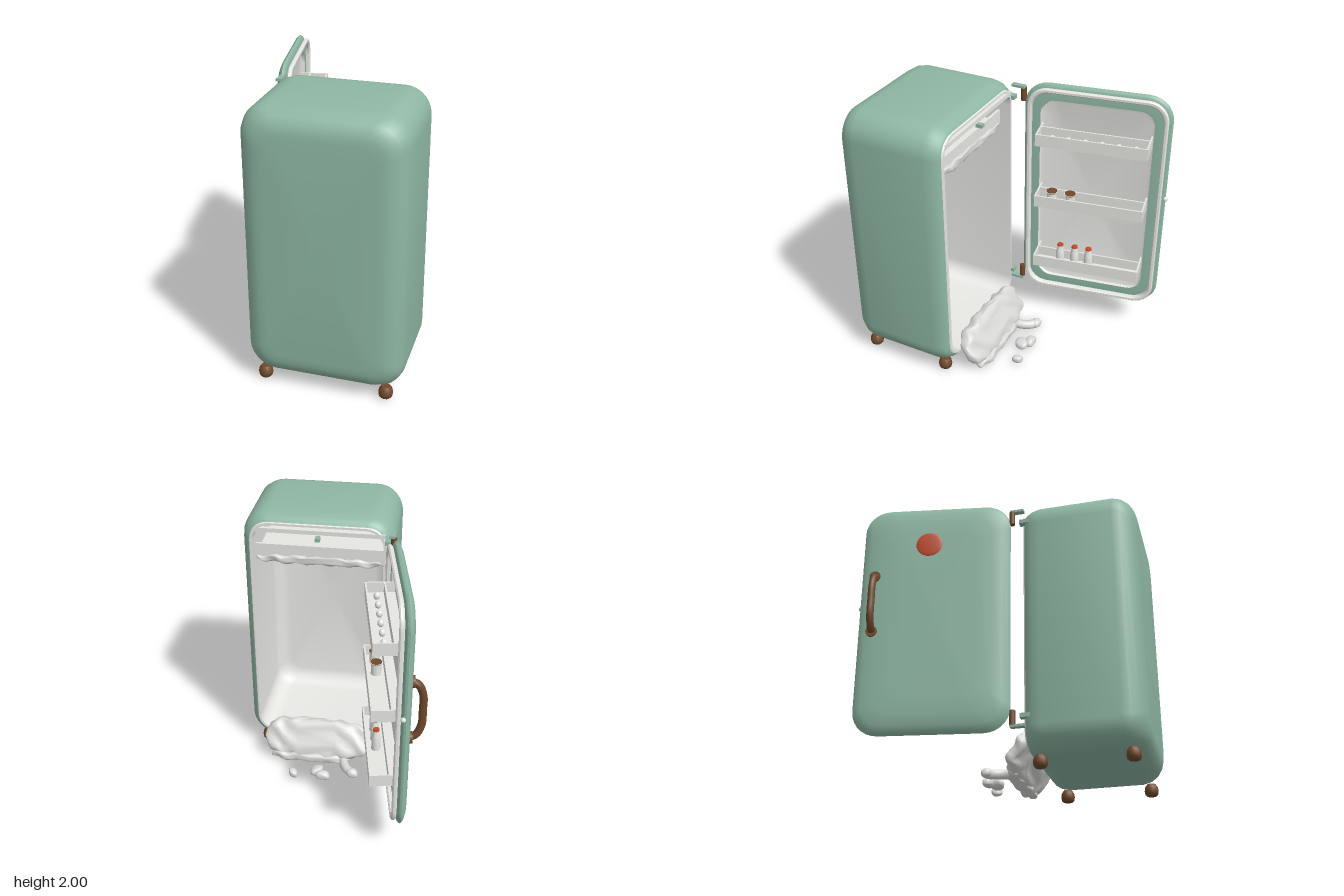
import * as THREE from 'three';
import { toCreasedNormals, mergeVertices } from 'three/addons/utils/BufferGeometryUtils.js';

const mat = (name, color) => Object.assign(new THREE.MeshStandardMaterial({ color }), { name });

// Ring of points around a rounded rectangle, counter-clockwise seen from +z
function roundedRing(cx, cy, w, h, r, z) {
  const pts = [], k = 7;
  [[1, 1], [-1, 1], [-1, -1], [1, -1]].forEach(([sx, sy], q) => {
    for (let i = 0; i <= k; i++) {
      const a = (q + i / k) * Math.PI / 2;
      pts.push([cx + sx * (w / 2 - r) + r * Math.cos(a), cy + sy * (h / 2 - r) + r * Math.sin(a), z]);
    }
  });
  return pts;
}

// Skin over rounded rectangles; each section is [z, inset, corner radius]
function loft(cx, cy, w, h, sections, capStart, capEnd) {
  const pos = [], idx = [];
  const rings = sections.map(([z, d, r]) => roundedRing(cx, cy, w - 2 * d, h - 2 * d, r, z));
  const n = rings[0].length;
  rings.forEach(ring => ring.forEach(p => pos.push(...p)));
  for (let i = 0; i < rings.length - 1; i++) {
    for (let j = 0; j < n; j++) {
      const a = i * n + j, b = i * n + (j + 1) % n;
      idx.push(a, b, b + n, a, b + n, a + n);
    }
  }
  const cap = (ringIndex, flip) => {
    const c = pos.length / 3, o = ringIndex * n;
    pos.push(cx, cy, sections[ringIndex][0]);
    for (let j = 0; j < n; j++) {
      const a = o + j, b = o + (j + 1) % n;
      flip ? idx.push(c, b, a) : idx.push(c, a, b);
    }
  };
  if (capStart) cap(0, true);
  if (capEnd) cap(rings.length - 1, false);
  const g = new THREE.BufferGeometry();
  g.setAttribute('position', new THREE.Float32BufferAttribute(pos, 3));
  g.setIndex(idx);
  return toCreasedNormals(g, 0.65);
}

// Lumpy ice: a squared-off ball displaced by waves
function lump(sx, sy, sz, power, amp, seed) {
  let g = new THREE.SphereGeometry(1, 40, 24);
  g.deleteAttribute('uv');
  g.deleteAttribute('normal');
  g = mergeVertices(g);
  const p = g.attributes.position;
  const sq = v => Math.sign(v) * Math.pow(Math.abs(v), power);
  for (let i = 0; i < p.count; i++) {
    const x = sq(p.getX(i)) * sx, y = sq(p.getY(i)) * sy, z = sq(p.getZ(i)) * sz;
    const wave = f => amp * Math.sin(f * 38 + seed);
    p.setXYZ(i, x + wave(y + z), y + wave(x * 1.1 + z * 0.7 + 1), z + wave(x * 0.9 - y + 2));
  }
  g.computeVertexNormals();
  return g;
}

export function createModel() {
  const green = mat('sage enamel', 0x8fb8a4);
  const white = mat('white liner', 0xe6e6e3);
  const ice = mat('frost', 0xdadad8);
  const brown = mat('brown fittings', 0x70492c);
  const red = mat('orange red badge', 0xc44a2c);

  const root = new THREE.Group();
  const add = (parent, name, geo, m, x = 0, y = 0, z = 0) => {
    const mesh = new THREE.Mesh(geo, m);
    mesh.name = name;
    mesh.position.set(x, y, z);
    parent.add(mesh);
    return mesh;
  };
  const box = (parent, name, m, w, h, d, x, y, z) =>
    add(parent, name, new THREE.BoxGeometry(w, h, d), m, x, y, z);

  // Cabinet, open towards -z
  const cabinet = new THREE.Group();
  cabinet.name = 'cabinet';
  root.add(cabinet);
  add(cabinet, 'cabinetShell', loft(0.155, 1.04, 1.09, 1.92, [
    [0.165, 0.06, 0.14], [0.18, 0.035, 0.16], [0.22, 0.012, 0.18], [0.28, 0, 0.19], [0.81, 0, 0.19],
    [0.87, 0.014, 0.18], [0.92, 0.045, 0.17], [0.95, 0.085, 0.15], [0.965, 0.13, 0.12], [0.97, 0.18, 0.1],
  ], false, true), green);
  add(cabinet, 'cabinetLiner', loft(0.155, 1.04, 1.09, 1.92, [
    [0.89, 0.2, 0.1], [0.875, 0.14, 0.12], [0.83, 0.1, 0.13], [0.76, 0.085, 0.13],
    [0.18, 0.08, 0.13], [0.158, 0.078, 0.13], [0.158, 0.062, 0.14], [0.17, 0.055, 0.14],
  ], true, false), white);
  box(cabinet, 'topStrip', white, 0.92, 0.03, 0.03, 0.14, 1.885, 0.17);
  box(cabinet, 'topCatch', green, 0.035, 0.025, 0.05, 0.15, 1.84, 0.155);
  box(cabinet, 'freezerFloor', white, 0.92, 0.025, 0.6, 0.155, 1.64, 0.55);
  box(cabinet, 'freezerFront', white, 0.92, 0.1, 0.02, 0.155, 1.69, 0.25);

  // Feet
  const footProfile = [[0, 0], [0.035, 0], [0.046, 0.012], [0.05, 0.035], [0.046, 0.062], [0.03, 0.085], [0, 0.085]]
    .map(([x, y]) => new THREE.Vector2(x, y));
  for (const x of [-0.275, 0.58]) for (const z of [0.25, 0.86]) {
    add(cabinet, 'foot', toCreasedNormals(new THREE.LatheGeometry(footProfile, 14), 0.7), brown, x, 0.005, z);
  }

  // Hinges
  for (const [y, s] of [[1.865, 1], [0.325, -1]]) {
    add(cabinet, 'hingePin', new THREE.CylinderGeometry(0.021, 0.021, 0.1, 14), brown, -0.386, y, 0.09);
    box(cabinet, 'hingeBracket', green, 0.04, 0.018, 0.1, -0.376, y + s * 0.058, 0.125);
    box(cabinet, 'hingeArm', green, 0.05, 0.03, 0.07, -0.345, y - s * 0.02, 0.17);
  }

  // Frost in the freezer and the ice spilling out at the bottom
  const frost = new THREE.Group();
  frost.name = 'frost';
  root.add(frost);
  add(frost, 'freezerFrost', lump(0.45, 0.03, 0.03, 0.6, 0.008, 1), ice, 0.155, 1.63, 0.25);
  add(frost, 'backFrost', lump(0.4, 0.035, 0.035, 0.6, 0.008, 3), ice, 0.155, 1.61, 0.81);
  const wallFrost = add(frost, 'wallFrost', lump(0.25, 0.035, 0.03, 0.6, 0.008, 5), ice, -0.29, 1.61, 0.57);
  wallFrost.rotation.y = Math.PI / 2;
  const spill = add(frost, 'icePile', lump(0.4, 0.15, 0.06, 0.55, 0.01, 2), ice, 0.16, 0.17, 0.075);
  spill.rotation.x = 0.5;
  add(frost, 'iceFoot', lump(0.31, 0.035, 0.05, 0.6, 0.008, 4), ice, 0.2, 0.048, 0.005);
  const finger = new THREE.CatmullRomCurve3([[-0.06, 0.05, 0.04], [-0.07, 0.045, -0.05], [-0.1, 0.04, -0.11], [-0.15, 0.035, -0.155]]
    .map(p => new THREE.Vector3(...p)));
  add(frost, 'iceFinger', new THREE.TubeGeometry(finger, 16, 0.035, 10), ice);
  add(frost, 'iceFingerTip', lump(0.045, 0.034, 0.036, 0.9, 0.004, 1), ice, -0.15, 0.037, -0.155);
  for (const [x, z, sx, sz, seed] of [[0.07, -0.21, 0.055, 0.035, 1], [0.125, -0.155, 0.045, 0.05, 3], [0.3, -0.21, 0.034, 0.036, 6]]) {
    add(frost, 'iceChunk', lump(sx, 0.032, sz, 0.8, 0.004, seed), ice, x, 0.037, z);
  }

  // Open door: local x runs away from the hinge, local z points inwards
  const door = new THREE.Group();
  door.name = 'door';
  door.position.set(-0.49, 0, -0.44);
  door.rotation.y = 1.749;
  root.add(door);
  const cy = 1.095, W = 1.06, H = 1.75;
  add(door, 'doorPanel', loft(0, cy, W, H, [
    [-0.05, 0.24, 0.08], [-0.046, 0.13, 0.13], [-0.035, 0.055, 0.16], [-0.018, 0.015, 0.18], [0, 0, 0.18],
    [0.015, 0.005, 0.18], [0.025, 0.02, 0.17], [0.03, 0.05, 0.15], [0.03, 0.12, 0.11],
  ], true, false), green);
  add(door, 'doorLiner', loft(0, cy, W, H, [
    [0.03, 0.12, 0.11], [0.008, 0.126, 0.11], [0.002, 0.15, 0.1],
  ], false, true), white);
  add(door, 'doorGasket', loft(0, cy, W, H, [
    [0.03, 0.036, 0.15], [0.04, 0.026, 0.15], [0.055, 0.026, 0.15], [0.064, 0.034, 0.14],
    [0.064, 0.05, 0.13], [0.055, 0.058, 0.13], [0.028, 0.06, 0.13],
  ], false, false), white);

  // Door trays
  for (const y of [1.57, 1.07, 0.54]) {
    const tray = new THREE.Group();
    tray.name = 'doorTray';
    tray.position.y = y;
    door.add(tray);
    box(tray, 'trayFloor', white, 0.8, 0.015, 0.21, 0, 0.0075, 0.108);
    box(tray, 'trayFront', white, 0.8, 0.09, 0.012, 0, 0.045, 0.207);
    box(tray, 'trayBack', white, 0.8, 0.09, 0.012, 0, 0.045, 0.076);
    for (const s of [-1, 1]) box(tray, 'traySide', white, 0.012, 0.09, 0.21, s * 0.394, 0.045, 0.108);
  }

  // Eggs, jars and bottles
  for (let i = 0; i < 6; i++) {
    add(door, 'egg', new THREE.SphereGeometry(0.022, 14, 10), white, -0.295 + i * 0.12, 1.607, 0.136).scale.y = 1.2;
  }
  for (const x of [-0.283, -0.145]) {
    add(door, 'jar', new THREE.CylinderGeometry(0.036, 0.036, 0.08, 16), white, x, 1.125, 0.14);
    add(door, 'jarLid', new THREE.CylinderGeometry(0.045, 0.036, 0.014, 16), white, x, 1.172, 0.14);
    add(door, 'jarLidTop', new THREE.CylinderGeometry(0.04, 0.04, 0.004, 16), brown, x, 1.18, 0.14);
  }
  const bottle = [[0, 0], [0.032, 0], [0.032, 0.09], [0.029, 0.115], [0.02, 0.15], [0.02, 0.165], [0, 0.165]]
    .map(([x, y]) => new THREE.Vector2(x, y));
  for (const x of [-0.206, -0.095, 0.012]) {
    add(door, 'bottle', toCreasedNormals(new THREE.LatheGeometry(bottle, 16), 0.7), white, x, 0.553, 0.14);
    add(door, 'bottleCap', new THREE.CylinderGeometry(0.022, 0.024, 0.012, 16), red, x, 0.72, 0.14);
  }

  // Handle, badge and latch knob
  const grip = new THREE.CatmullRomCurve3([[-0.03, 1.4], [-0.075, 1.38], [-0.11, 1.3], [-0.113, 1.185], [-0.11, 1.07], [-0.075, 0.99], [-0.03, 0.97]]
    .map(([z, y]) => new THREE.Vector3(0.43, y, z)));
  add(door, 'handle', new THREE.TubeGeometry(grip, 24, 0.026, 10), brown);
  for (const y of [1.4, 0.97]) {
    const mount = add(door, 'handleMount', new THREE.CylinderGeometry(0.04, 0.04, 0.025, 16), brown, 0.43, y, -0.042);
    mount.rotation.x = Math.PI / 2;
  }
  add(door, 'badge', new THREE.SphereGeometry(0.095, 28, 14), red, 0.05, 1.645, -0.049).scale.z = 0.1;
  add(door, 'latchKnob', new THREE.SphereGeometry(0.018, 12, 10), white, 0.53, 1.18, 0.02);

  return root;
}
